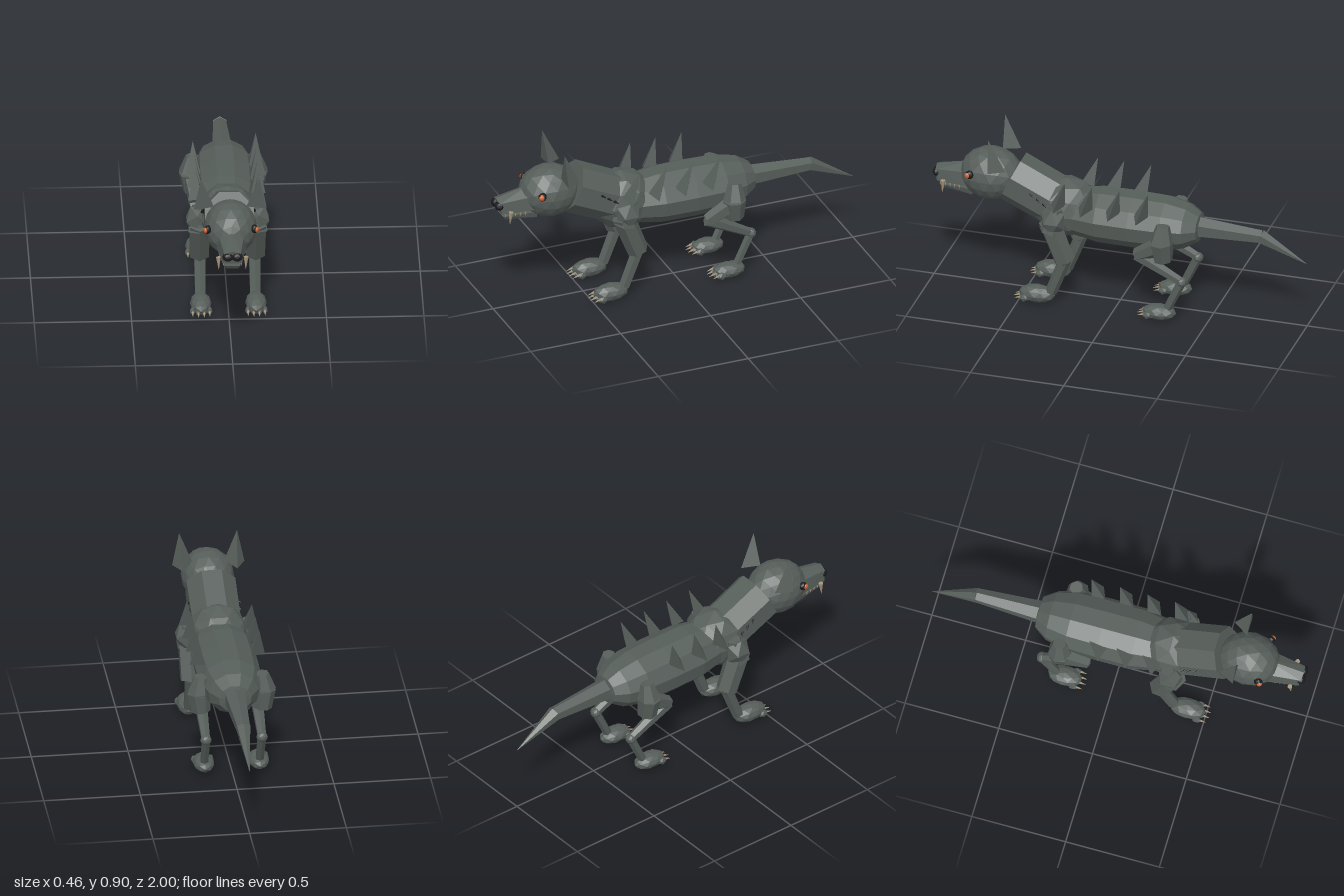
import * as THREE from 'three';
import { ConvexGeometry } from 'three/addons/geometries/ConvexGeometry.js';

const mat = (name, color) => {
  const m = new THREE.MeshStandardMaterial({ color, flatShading: true });
  m.name = name;
  return m;
};
const V = (x, y, z) => new THREE.Vector3(x, y, z);

export function createModel() {
  const hide = mat('hide grey', 0x565e5a);
  const black = mat('nose black', 0x1b1b1d);
  const amber = mat('eye amber', 0xd2622e);
  const bone = mat('tooth bone', 0xa5947a);

  const root = new THREE.Group();
  root.name = 'beast';

  const add = (name, geo, m = hide, parent = root) => {
    const mesh = new THREE.Mesh(geo, m);
    mesh.name = name;
    parent.add(mesh);
    return mesh;
  };
  // faceted ellipsoid
  const blob = (name, p, r, detail = 1, m = hide, parent = root) => {
    const mesh = add(name, new THREE.IcosahedronGeometry(1, detail), m, parent);
    mesh.position.set(...p);
    mesh.scale.set(...r);
    return mesh;
  };
  // tapered prism running from a to b
  const limb = (name, a, b, ra, rb, sides = 6, m = hide, parent = root, roll = 0) => {
    const A = V(...a), B = V(...b), d = B.clone().sub(A);
    const geo = new THREE.CylinderGeometry(rb, ra, d.length(), sides);
    geo.rotateY(roll);
    const mesh = add(name, geo, m, parent);
    mesh.position.copy(A).add(B).multiplyScalar(0.5);
    mesh.quaternion.setFromUnitVectors(V(0, 1, 0), d.normalize());
    return mesh;
  };
  const hull = (name, pts, m = hide, parent = root) =>
    add(name, new ConvexGeometry(pts.map(p => V(...p))), m, parent);

  // torso: lathe laid along z
  const profile = [[0, -0.44], [0.075, -0.425], [0.115, -0.36], [0.14, -0.25], [0.145, -0.08],
    [0.143, 0.1], [0.12, 0.24], [0, 0.34]].map(([r, z]) => new THREE.Vector2(r, z));
  const torsoGeo = new THREE.LatheGeometry(profile, 11);
  torsoGeo.rotateX(Math.PI / 2);
  const torso = add('torso', torsoGeo);
  torso.scale.x = 1.15;
  torso.position.y = 0.487;

  blob('chest', [0, 0.505, 0.29], [0.155, 0.16, 0.175]);
  limb('neck', [0, 0.525, 0.34], [0, 0.635, 0.575], 0.135, 0.137, 8, hide, root, Math.PI / 8);
  blob('head', [0, 0.636, 0.692], [0.137, 0.14, 0.163], 2);

  // snout and jaw
  const snout = [[0, 0.69, 0.79], [0, 0.645, 0.985]];
  const jaw = [];
  for (const s of [1, -1]) {
    snout.push([s * 0.078, 0.575, 0.79], [s * 0.068, 0.65, 0.79], [s * 0.05, 0.57, 0.97],
      [s * 0.042, 0.63, 0.98]);
    jaw.push([s * 0.065, 0.555, 0.78], [s * 0.055, 0.52, 0.78], [s * 0.04, 0.55, 0.96],
      [s * 0.03, 0.528, 0.945]);
  }
  hull('snout', snout);
  hull('jaw', jaw);

  // tail
  limb('tailBase', [0, 0.488, -0.41], [0, 0.482, -0.76], 0.06, 0.038, 6);
  limb('tailTip', [0, 0.485, -0.75], [0, 0.36, -1], 0.04, 0.001, 6);

  for (const s of [1, -1]) {
    const side = new THREE.Group();
    side.name = s > 0 ? 'leftSide' : 'rightSide';
    root.add(side);

    // ears
    hull('ear', [[s * 0.083, 0.735, 0.657], [s * 0.187, 0.722, 0.657], [s * 0.14, 0.722, 0.575],
      [s * 0.15, 0.9, 0.665]], hide, side);

    // eyes and nostrils
    blob('eyeSocket', [s * 0.12, 0.667, 0.775], [0.019, 0.023, 0.023], 1, black, side);
    blob('eye', [s * 0.129, 0.667, 0.782], [0.014, 0.016, 0.016], 1, amber, side);
    blob('nose', [s * 0.024, 0.61, 0.976], [0.029, 0.024, 0.024], 1, black, side);

    // teeth
    limb('fang', [s * 0.071, 0.587, 0.93], [s * 0.069, 0.518, 0.935], 0.013, 0.001, 6, bone, side);
    for (let i = 0; i < 5; i++) {
      const x = s * (0.046 + i * 0.004), z = 0.95 - i * 0.026;
      limb('tooth', [x, 0.575, z], [x, 0.548, z], 0.007, 0.001, 5, bone, side);
    }

    // dark neck quills
    for (let i = 0; i < 3; i++) {
      const y = 0.615 - i * 0.024, z = 0.46 - i * 0.035;
      limb('neckQuill', [s * 0.105, y, z], [s * 0.14, y - 0.015, z - 0.03], 0.014, 0.002, 5, black, side);
    }

    // back spikes, staggered between the two sides
    const tips = s > 0 ? [0.25, 0.103, -0.044, -0.195] : [0.17, 0.03, -0.115];
    for (const z of tips) {
      hull('backSpike', [[s * 0.2, 0.552, z + 0.055], [s * 0.125, 0.57, z + 0.085],
        [s * 0.125, 0.57, z + 0.01], [s * 0.163, 0.72, z]], hide, side);
    }

    // front leg
    blob('shoulder', [s * 0.158, 0.49, 0.315], [0.064, 0.085, 0.07], 0, hide, side);
    limb('shoulderCap', [s * 0.15, 0.56, 0.3], [s * 0.15, 0.43, 0.33], 0.035, 0.062, 6, hide, side);
    limb('upperFrontLeg', [s * 0.144, 0.48, 0.34], [s * 0.144, 0.262, 0.255], 0.06, 0.056, 6, hide, side);
    blob('frontElbow', [s * 0.142, 0.265, 0.258], [0.038, 0.03, 0.035], 1, hide, side);
    limb('lowerFrontLeg', [s * 0.141, 0.27, 0.252], [s * 0.141, 0.07, 0.33], 0.034, 0.031, 6, hide, side);

    // hind leg
    limb('hipUpper', [s * 0.158, 0.55, -0.275], [s * 0.168, 0.46, -0.27], 0.035, 0.062, 7, hide, side);
    limb('hipLower', [s * 0.168, 0.46, -0.27], [s * 0.158, 0.355, -0.275], 0.062, 0.05, 7, hide, side);
    limb('haunch', [s * 0.155, 0.42, -0.24], [s * 0.145, 0.355, -0.13], 0.05, 0.036, 6, hide, side);
    limb('thigh', [s * 0.145, 0.36, -0.13], [s * 0.145, 0.235, -0.37], 0.037, 0.024, 6, hide, side);
    blob('hock', [s * 0.145, 0.233, -0.373], [0.03, 0.028, 0.026], 1, hide, side);
    limb('shank', [s * 0.145, 0.24, -0.375], [s * 0.143, 0.06, -0.29], 0.024, 0.022, 6, hide, side);

    // paws with toes and claws
    for (const [name, z, len, h] of [['frontPaw', 0.405, 0.097, 0.047], ['hindPaw', -0.25, 0.09, 0.04]]) {
      const paw = new THREE.Group();
      paw.name = name;
      paw.position.set(s * 0.142, 0, z);
      side.add(paw);
      blob('pad', [0, h + 0.004, 0], [0.055, h, len], 1, hide, paw);
      for (let i = 0; i < 4; i++) {
        const x = (i - 1.5) * 0.029, f = len * (0.78 - 0.12 * Math.abs(i - 1.5));
        blob('toe', [x, 0.036, f], [0.016, 0.022, 0.026], 0, hide, paw);
        limb('claw', [x, 0.042, f + 0.012], [x, 0.03, f + 0.05], 0.008, 0.001, 5, bone, paw);
      }
    }
  }
  return root;
}
